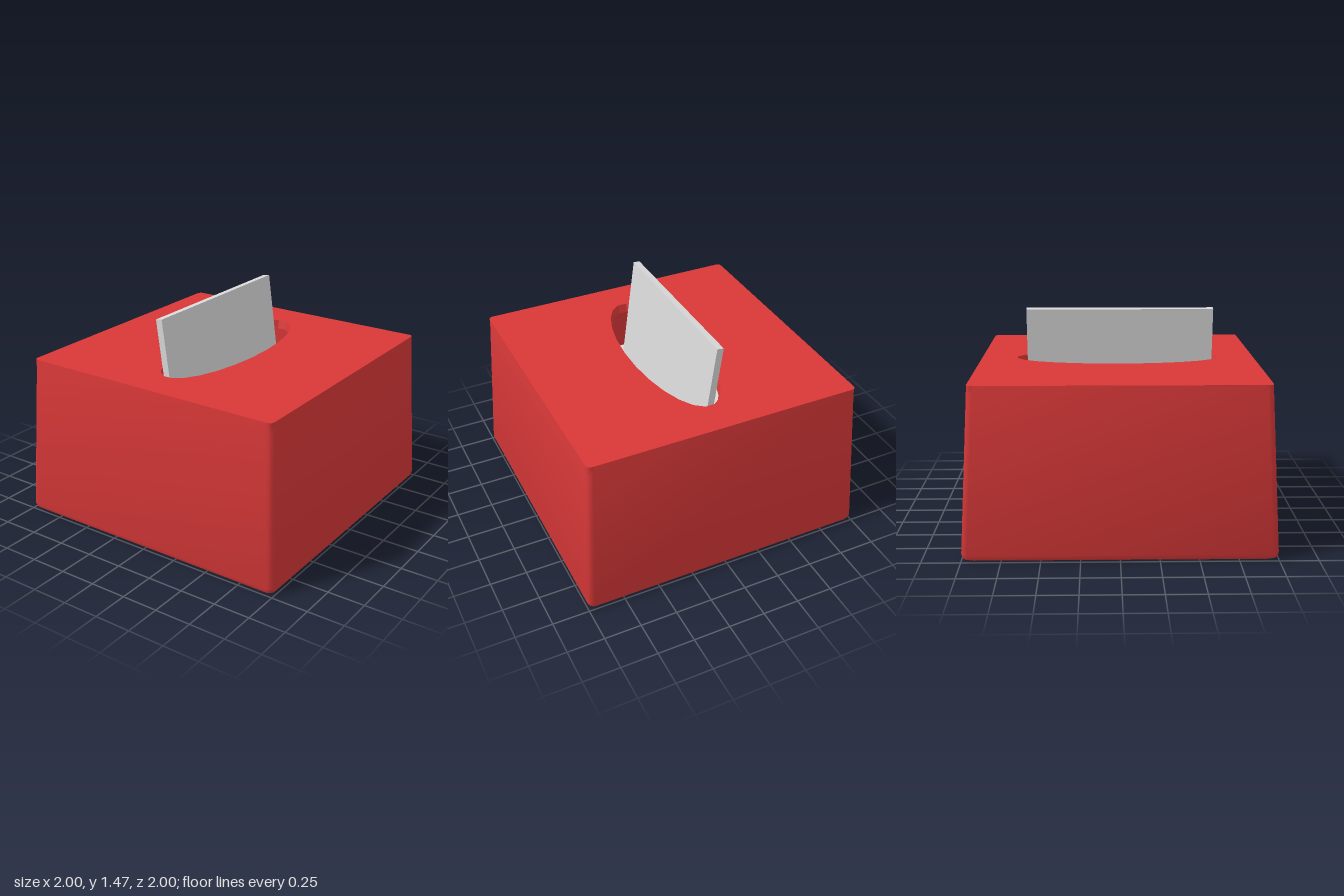
import * as THREE from 'three';
import { toCreasedNormals } from 'three/addons/utils/BufferGeometryUtils.js';

const CORNER_STEPS = 3;

// Rounded square outline, running from +x towards +z
function squareRing(half, radius) {
  const r = Math.min(radius, half), c = half - r, pts = [];
  for (let q = 0; q < 4; q++) {
    const cx = q === 0 || q === 3 ? c : -c, cz = q < 2 ? c : -c;
    for (let i = 0; i <= CORNER_STEPS; i++) {
      const a = (q + i / CORNER_STEPS) * Math.PI / 2;
      pts.push([cx + r * Math.cos(a), cz + r * Math.sin(a)]);
    }
  }
  return pts;
}

// Skins a profile of [half width, height] with rounded square rings
function squareLoft(profile, radius) {
  const pos = [], idx = [], n = 4 * (CORNER_STEPS + 1);
  for (const [half, y] of profile)
    for (const [x, z] of squareRing(half, radius)) pos.push(x, y, z);
  for (let k = 0; k < profile.length - 1; k++) {
    for (let i = 0; i < n; i++) {
      const a = k * n + i, b = k * n + (i + 1) % n;
      idx.push(a, a + n, b, b, a + n, b + n);
    }
  }
  const g = new THREE.BufferGeometry();
  g.setAttribute('position', new THREE.Float32BufferAttribute(pos, 3));
  g.setIndex(idx);
  return toCreasedNormals(g, 0.6);
}

// Flat lid with an oval opening that narrows slightly downwards
function lidGeometry(half, thickness) {
  const shape = new THREE.Shape(squareRing(half, 0.03).map(([x, z]) => new THREE.Vector2(x, z)));
  const hole = [];
  for (let i = 0; i < 24; i++) {
    const a = (i + 0.5) / 24 * Math.PI * 2;
    hole.push(new THREE.Vector2(0.245 * Math.cos(a), 0.7 * Math.sin(a)));
  }
  shape.holes.push(new THREE.Path(hole));
  const g = new THREE.ExtrudeGeometry(shape, { depth: thickness, bevelEnabled: false });
  const p = g.attributes.position;
  for (let i = 0; i < p.count; i++) {
    const inHole = Math.abs(p.getX(i)) < 0.3 && Math.abs(p.getY(i)) < 0.75;
    if (inHole && p.getZ(i) < thickness / 2) p.setXY(i, p.getX(i) * 0.95, p.getY(i) * 0.98);
  }
  g.rotateX(-Math.PI / 2);
  return toCreasedNormals(g, 0.6);
}

export function createModel() {
  const group = new THREE.Group();
  const red = new THREE.MeshStandardMaterial({ color: 0xd93838 });
  red.name = 'red';
  const white = new THREE.MeshStandardMaterial({ color: 0xd9d9d9 });
  white.name = 'paleGrey';

  const add = (name, geometry, material) => {
    const mesh = new THREE.Mesh(geometry, material);
    mesh.name = name;
    group.add(mesh);
    return mesh;
  };

  // Hollow tapered box, outside then inside
  add('boxShell', squareLoft([
    [0, 0], [0.965, 0], [0.99, 0.015], [1, 0.045], [0.94, 1.117],
    [0.89, 1.1], [0.94, 0.05], [0, 0.05],
  ], 0.04), red);

  // Lid with the oval opening
  add('lid', lidGeometry(0.94, 0.06), red).position.y = 1.058;

  // Stack of tissues inside
  add('tissueStack', new THREE.BoxGeometry(1.76, 0.59, 1.76), white).position.y = 0.345;

  // Leaning tissue sheet poking through the opening
  const sheet = add('tissueSheet', new THREE.BoxGeometry(0.046, 1, 1.265), white);
  sheet.position.set(-0.034, 0.976, 0.012);
  sheet.rotation.z = 0.136;

  return group;
}
